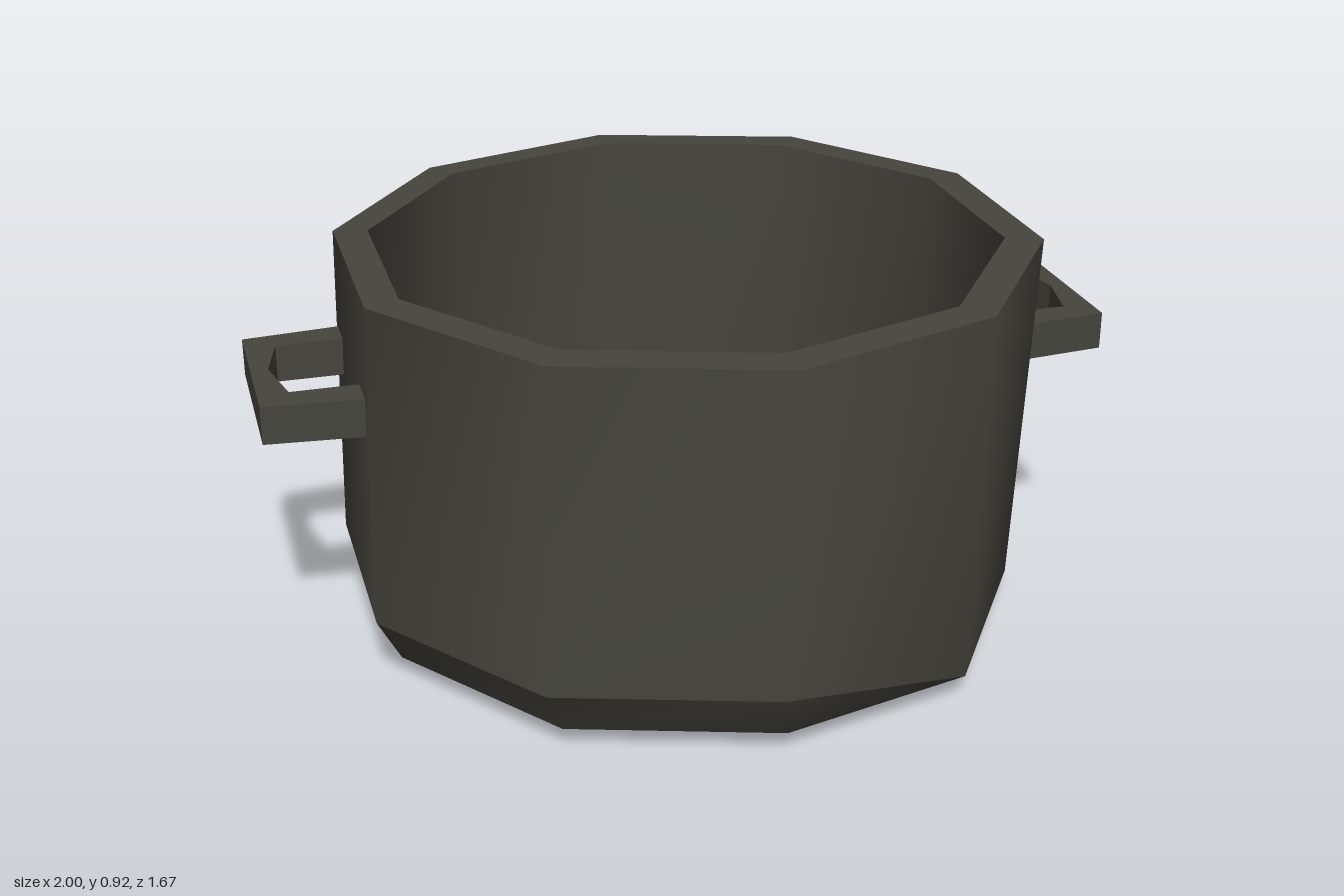
import * as THREE from 'three';

const SIDES = 10;

// Ten-sided ring; y may be a number or a list with one height per corner
function ring(r, cx, cz, y) {
  return Array.from({ length: SIDES }, (_, i) => {
    const a = (i / SIDES) * Math.PI * 2;
    return [cx + r * Math.sin(a), Array.isArray(y) ? y[i] : y, cz + r * Math.cos(a)];
  });
}

function build(points, index) {
  const g = new THREE.BufferGeometry();
  g.setAttribute('position', new THREE.Float32BufferAttribute(points.flat(), 3));
  g.setIndex(index);
  g.computeVertexNormals();
  return g;
}

// Band between two rings, smooth around its circumference
function band(upper, lower) {
  const index = [];
  for (let i = 0; i < SIDES; i++) {
    const j = (i + 1) % SIDES;
    index.push(SIDES + i, SIDES + j, j, SIDES + i, j, i);
  }
  return build([...upper, ...lower], index);
}

// Flat disc closing a ring
function cap(points, down) {
  const index = [];
  for (let i = 1; i < SIDES - 1; i++) index.push(0, down ? i + 1 : i, down ? i : i + 1);
  return build(points, index);
}

export function createModel() {
  const model = new THREE.Group();
  model.name = 'cookingPot';
  const iron = new THREE.MeshStandardMaterial({ color: 0x45443d });
  iron.name = 'dark iron';

  const add = (name, geometry) => {
    const mesh = new THREE.Mesh(geometry, iron);
    mesh.name = name;
    model.add(mesh);
    return mesh;
  };

  // Body rings, from the rim down to the base
  const rimOuter = ring(0.825, 0.017, -0.008, 0.92);
  const rimInner = ring(0.74, 0.015, -0.015, 0.92);
  const floor = ring(0.72, 0.017, -0.015, 0.07);
  const heel = ring(0.79, 0.018, -0.01, 0.05);
  const base = ring(0.53, 0.135, -0.01, 0);
  // The wall ends higher on the front and left, leaving a worn bevel there
  const wallFoot = ring(0.82, -0.01, 0.02,
    [0.17, 0.06, 0.05, 0.05, 0.05, 0.05, 0.06, 0.17, 0.17, 0.17]);
  for (let i = 2; i <= 5; i++) wallFoot[i] = heel[i];

  add('outerWall', band(rimOuter, wallFoot));
  add('lowerBevel', band(wallFoot, heel));
  add('baseSlope', band(heel, base));
  add('baseBottom', cap(base, true));
  add('rim', band(rimInner, rimOuter));
  add('innerWall', band(floor, rimInner));
  add('innerFloor', cap(floor, false));

  // Bracket handles, one on each side
  for (const s of [1, -1]) {
    const outline = [
      [0.75, -0.238], [1, -0.215], [1, 0.185], [0.75, 0.208], [0.75, 0.12],
      [0.93, 0.12], [0.96, -0.02], [0.93, -0.155], [0.75, -0.155],
    ].map(([x, z]) => new THREE.Vector2(s * x, -z));
    const g = new THREE.ExtrudeGeometry(new THREE.Shape(outline), { depth: 0.09, bevelEnabled: false });
    g.rotateX(-Math.PI / 2);
    add(s > 0 ? 'leftHandle' : 'rightHandle', g).position.y = 0.602;
  }
  return model;
}
